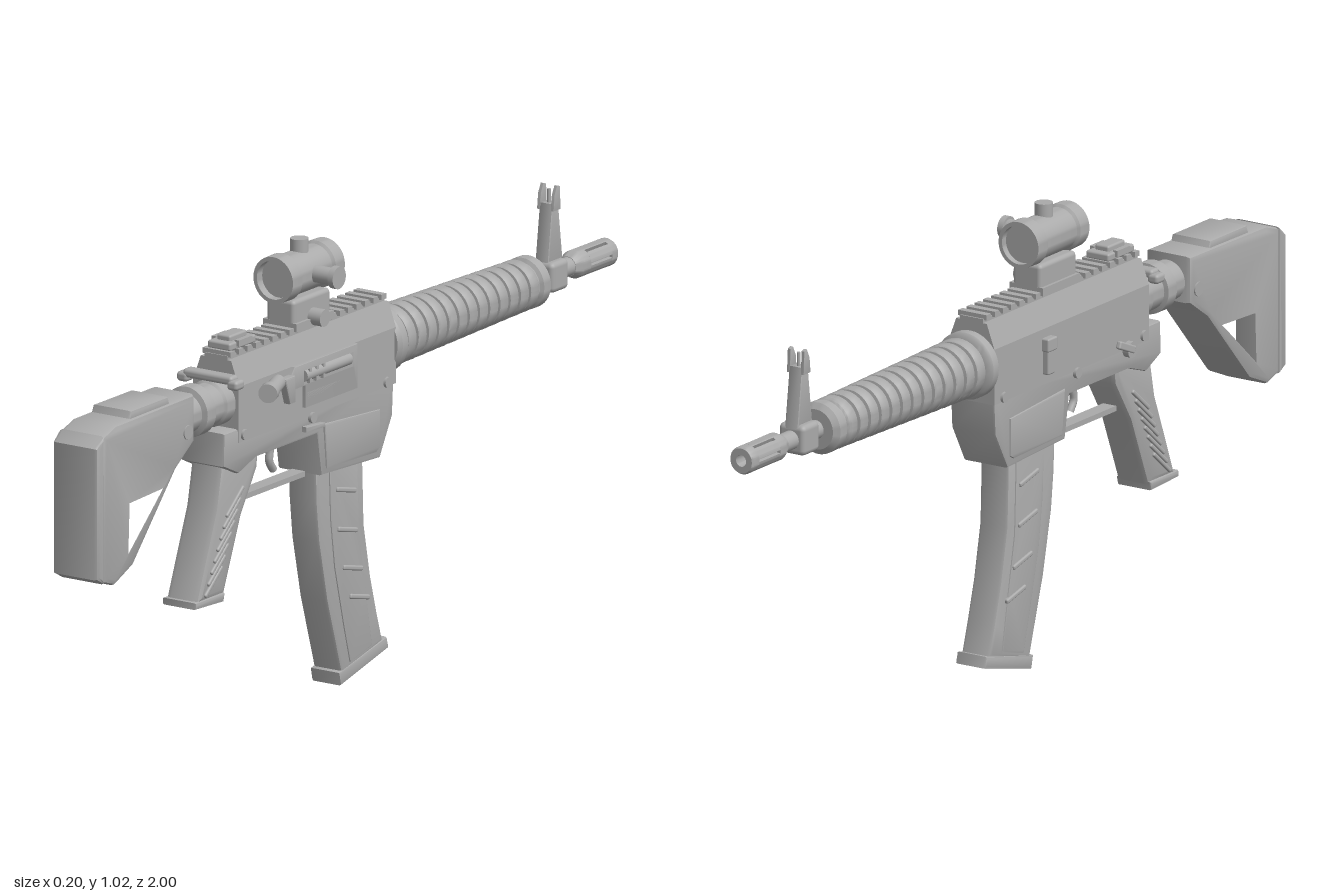
import * as THREE from 'three';
import { toCreasedNormals } from 'three/addons/utils/BufferGeometryUtils.js';
import { RoundedBoxGeometry } from 'three/addons/geometries/RoundedBoxGeometry.js';

export function createModel() {
  const root = new THREE.Group();
  const model = new THREE.Group();
  model.name = 'rifle';
  model.position.x = -0.0135;
  root.add(model);
  const grey = new THREE.MeshStandardMaterial({ color: 0xaaaaaa });
  grey.name = 'gunmetal grey';

  const add = (name, geo, x = 0, y = 0, z = 0) => {
    const m = new THREE.Mesh(geo, grey);
    m.name = name;
    m.position.set(x, y, z);
    model.add(m);
    return m;
  };
  const box = (name, w, h, d, x, y, z) => add(name, new THREE.BoxGeometry(w, h, d), x, y, z);
  const rbox = (name, w, h, d, x, y, z, r = 0.008) =>
    add(name, new RoundedBoxGeometry(w, h, d, 2, r), x, y, z);
  // Cylinder along x, y or z
  const rod = (name, axis, r, len, x, y, z) => {
    const g = new THREE.CylinderGeometry(r, r, len, 24);
    if (axis === 'x') g.rotateZ(Math.PI / 2);
    if (axis === 'z') g.rotateX(Math.PI / 2);
    return add(name, g, x, y, z);
  };
  // Turned part about the z axis, profile points are [radius, z]
  const turned = (name, pts, y) => {
    const g = new THREE.LatheGeometry(pts.map(p => new THREE.Vector2(...p)), 40);
    return add(name, toCreasedNormals(g.rotateX(Math.PI / 2), 0.6), 0, y, 0);
  };
  // Side outline of [z, y] points, extruded across x with beveled edges
  const slab = (name, pts, width, bevel = 0.008, holes = [], x = 0) => {
    const vec = list => list.map(([z, y]) => new THREE.Vector2(-z, y));
    const s = new THREE.Shape(vec(pts));
    holes.forEach(h => s.holes.push(new THREE.Path(vec(h))));
    const g = new THREE.ExtrudeGeometry(s, {
      depth: width - 2 * bevel, bevelEnabled: true, bevelSize: bevel,
      bevelThickness: bevel, bevelOffset: -bevel, bevelSegments: 2,
    });
    g.translate(0, 0, bevel - width / 2).rotateY(Math.PI / 2);
    return add(name, toCreasedNormals(g, 0.6), x);
  };

  // Stock
  slab('stock', [[0.975, 0.765], [0.925, 0.782], [0.63, 0.785], [0.63, 0.68], [0.70, 0.632],
    [0.86, 0.455], [0.93, 0.425], [0.975, 0.44]], 0.118, 0.012,
    [[[0.89, 0.61], [0.735, 0.61], [0.765, 0.575], [0.89, 0.47]]]);
  slab('buttPad', [[1, 0.745], [0.972, 0.768], [0.972, 0.437], [1, 0.452]], 0.118);
  slab('cheekRest', [[0.87, 0.775], [0.86, 0.798], [0.72, 0.798], [0.71, 0.775]], 0.1, 0.005);
  rod('stockPin', 'x', 0.016, 0.124, 0, 0.707, 0.66);

  // Stock tube with castle nut
  turned('stockTube', [[0, 0.45], [0.052, 0.45], [0.052, 0.5], [0.047, 0.505], [0.047, 0.548],
    [0.057, 0.55], [0.057, 0.582], [0.045, 0.586], [0.045, 0.64], [0, 0.64]], 0.725);

  // Upper receiver with chamfered top
  const section = new THREE.Shape([[-0.06, 0.64], [0.06, 0.64], [0.06, 0.765], [0.04, 0.82],
    [-0.04, 0.82], [-0.06, 0.765]].map(p => new THREE.Vector2(...p)));
  add('upperReceiver', new THREE.ExtrudeGeometry(section, { depth: 0.59, bevelEnabled: false }), 0, 0, -0.12);
  // Lower receiver and magazine well
  slab('lowerReceiver', [[0.52, 0.67], [-0.118, 0.67], [-0.112, 0.57], [-0.065, 0.485], [0.155, 0.495],
    [0.172, 0.592], [0.4, 0.592], [0.465, 0.57], [0.522, 0.597]], 0.116, 0.006);
  slab('magazineWellPanel', [[0.15, 0.61], [-0.06, 0.595], [-0.06, 0.51], [-0.045, 0.502], [0.14, 0.508]], 0.124, 0.004);

  // Toothed top rail
  box('railBase', 0.06, 0.014, 0.59, 0, 0.822, 0.175);
  for (let i = 0; i < 19; i++) box('railTooth', 0.074, 0.012, 0.017, 0, 0.832, -0.108 + i * 0.0315);

  // Charging handle
  rbox('chargingHandle', 0.13, 0.02, 0.03, 0, 0.785, 0.49);
  for (const s of [-1, 1]) rbox('chargingHandleEnd', 0.028, 0.022, 0.034, s * 0.066, 0.776, 0.49);

  // Ejection port on the model's left
  slab('ejectionPortFrame', [[0.29, 0.74], [0.27, 0.765], [0.035, 0.765], [0.035, 0.665], [0.23, 0.665],
    [0.23, 0.715], [0.29, 0.715]], 0.014, 0.003,
    [[[0.24, 0.753], [0.05, 0.753], [0.05, 0.715], [0.24, 0.715]]], 0.062);
  rod('bolt', 'z', 0.014, 0.17, 0.056, 0.734, 0.14);
  for (let i = 0; i < 3; i++) box('boltRib', 0.01, 0.036, 0.008, 0.063, 0.734, 0.16 + i * 0.025);
  box('dustCover', 0.012, 0.028, 0.19, 0.063, 0.685, 0.13);
  slab('shellDeflector', [[0.32, 0.75], [0.28, 0.75], [0.28, 0.69], [0.3, 0.69]], 0.025, 0.004, [], 0.065);

  // Angled forward assist
  rod('forwardAssist', 'z', 0.017, 0.09, 0.078, 0.743, 0.365).rotation.y = 0.4;
  rod('forwardAssistButton', 'z', 0.021, 0.025, 0.092, 0.743, 0.402).rotation.y = 0.4;

  // Controls and pins
  [[0.45, 0.655], [-0.085, 0.65], [0.195, 0.635]].forEach(([z, y]) =>
    rod('receiverPin', 'x', 0.012, 0.132, 0, y, z));
  slab('magazineRelease', [[0.23, 0.622], [0.16, 0.617], [0.16, 0.607], [0.23, 0.61]], 0.015, 0.002, [], 0.063);
  rbox('boltCatch', 0.02, 0.075, 0.028, -0.064, 0.7, 0.08, 0.004);
  rbox('boltCatchPaddle', 0.026, 0.03, 0.036, -0.064, 0.73, 0.08, 0.004);
  rod('selectorHub', 'x', 0.018, 0.073, -0.0365, 0.64, 0.39);
  rbox('selectorLever', 0.012, 0.018, 0.065, -0.069, 0.65, 0.37, 0.004).rotation.x = 0.4;

  // Ribbed handguard, tapering toward the muzzle
  const guard = [[0, -0.715], [0.045, -0.715], [0.058, -0.705], [0.058, -0.68], [0.05, -0.675], [0.05, -0.668]];
  for (let i = 0; i < 13; i++) {
    const z = -0.665 + i * 0.0395, r = 0.058 + i * 0.0008;
    guard.push([r - 0.003, z], [r, z + 0.005], [r, z + 0.025], [r - 0.003, z + 0.03],
      [r - 0.009, z + 0.031], [r - 0.009, z + 0.038]);
  }
  guard.push([0.07, -0.15], [0.075, -0.145], [0.075, -0.125], [0.068, -0.115], [0, -0.115]);
  turned('handguard', guard, 0.725);

  // Barrel, gas block and slotted muzzle
  rod('barrel', 'z', 0.021, 0.2, 0, 0.725, -0.79);
  rbox('gasBlock', 0.068, 0.068, 0.064, 0, 0.725, -0.778, 0.012);
  turned('muzzleCore', [[0, -0.95], [0.013, -0.95], [0.013, -0.998], [0.022, -0.998], [0.022, -0.86], [0, -0.86]], 0.725);
  for (let i = 0; i < 6; i++) {
    const a = i * Math.PI / 3 + 0.12, b = (i + 1) * Math.PI / 3 - 0.12;
    const s = new THREE.Shape();
    s.absarc(0, 0, 0.031, a, b, false);
    s.absarc(0, 0, 0.014, b, a, true);
    const g = new THREE.ExtrudeGeometry(s, { depth: 0.08, bevelEnabled: false, curveSegments: 8 });
    add('muzzleProng', toCreasedNormals(g, 0.6), 0, 0.725, -0.975);
  }
  turned('muzzleTip', [[0.013, -0.975], [0.013, -1], [0.028, -1], [0.031, -0.995], [0.031, -0.975], [0.013, -0.975]], 0.725);
  turned('muzzleCollar', [[0, -0.895], [0.031, -0.895], [0.031, -0.87], [0.022, -0.85], [0, -0.85]], 0.725);

  // Front sight tower with two ears and a post
  slab('frontSightTower', [[-0.75, 0.745], [-0.768, 0.885], [-0.792, 0.885], [-0.81, 0.745]], 0.034, 0.004);
  for (const s of [-1, 1])
    slab('frontSightEar', [[-0.766, 0.87], [-0.77, 0.905], [-0.78, 0.925], [-0.79, 0.922], [-0.793, 0.87]], 0.008, 0.001, [], s * 0.018);
  rod('frontSightPost', 'y', 0.004, 0.04, 0, 0.895, -0.78);

  // Folded rear sight
  rbox('rearSightBase', 0.06, 0.018, 0.1, 0, 0.845, 0.41, 0.005);
  rbox('rearSightLeaf', 0.036, 0.016, 0.065, 0, 0.858, 0.41, 0.005);
  for (const s of [-1, 1]) box('rearSightArm', 0.012, 0.014, 0.05, s * 0.03, 0.85, 0.41);

  // Optic on its mount
  rbox('opticMount', 0.074, 0.06, 0.14, 0, 0.868, 0.16, 0.01);
  box('opticClamp', 0.088, 0.018, 0.14, 0, 0.839, 0.16);
  rod('mountKnob', 'x', 0.019, 0.035, 0.052, 0.85, 0.16);
  turned('opticTube', [[0.043, 0.075], [0.043, 0.06], [0.052, 0.06], [0.053, 0.095], [0.047, 0.1], [0.047, 0.215],
    [0.053, 0.22], [0.052, 0.255], [0.043, 0.255], [0.043, 0.235]], 0.945);
  rod('opticLens', 'z', 0.044, 0.16, 0, 0.945, 0.155);
  rod('topTurret', 'y', 0.02, 0.04, 0, 0.998, 0.157);
  rod('sideTurret', 'x', 0.019, 0.06, 0.07, 0.945, 0.157);
  rod('sideTurretCap', 'x', 0.025, 0.014, 0.098, 0.945, 0.157);

  // Pistol grip with raised diagonal ridges
  slab('pistolGrip', [[0.505, 0.6], [0.365, 0.6], [0.37, 0.56], [0.43, 0.465], [0.495, 0.305], [0.6, 0.305],
    [0.57, 0.385], [0.525, 0.5]], 0.086, 0.014);
  slab('gripBase', [[0.608, 0.31], [0.498, 0.31], [0.503, 0.29], [0.608, 0.295]], 0.09, 0.005);
  for (let i = 0; i < 8; i++)
    rbox('gripRidge', 0.096, 0.01, 0.085, 0, 0.505 - i * 0.023, 0.462 + i * 0.0115, 0.004).rotation.x = 0.7;

  // Trigger and guard
  box('triggerGuard', 0.034, 0.012, 0.25, 0, 0.494, 0.285);
  const bend = new THREE.CatmullRomCurve3([[0.275, 0.6], [0.268, 0.57], [0.27, 0.545], [0.255, 0.522]]
    .map(([z, y]) => new THREE.Vector3(0, y, z)));
  add('trigger', new THREE.TubeGeometry(bend, 12, 0.009, 8));

  // Curved magazine with side panels and ribs
  slab('magazine', [[0.147, 0.51], [0.145, 0.43], [0.135, 0.34], [0.104, 0.2], [0.05, 0.025], [-0.105, 0.065],
    [-0.085, 0.13], [-0.06, 0.22], [-0.036, 0.34], [-0.03, 0.51]], 0.075);
  slab('magazinePanel', [[0.1, 0.5], [0.095, 0.38], [0.08, 0.27], [0.045, 0.13], [0.022, 0.045], [-0.06, 0.065],
    [-0.035, 0.2], [-0.012, 0.32], [-0.005, 0.5]], 0.081, 0.003);
  [[0.04, 0.435], [0.035, 0.345], [0.015, 0.255], [-0.01, 0.185]].forEach(([z, y]) => {
    rbox('magazineRib', 0.09, 0.011, 0.075, 0, y, z, 0.004).rotation.x = -0.24;
  });
  slab('magazineBase', [[0.062, 0.03], [-0.118, 0.07], [-0.125, 0.045], [0.055, 0]], 0.078, 0.005);

  return root;
}
